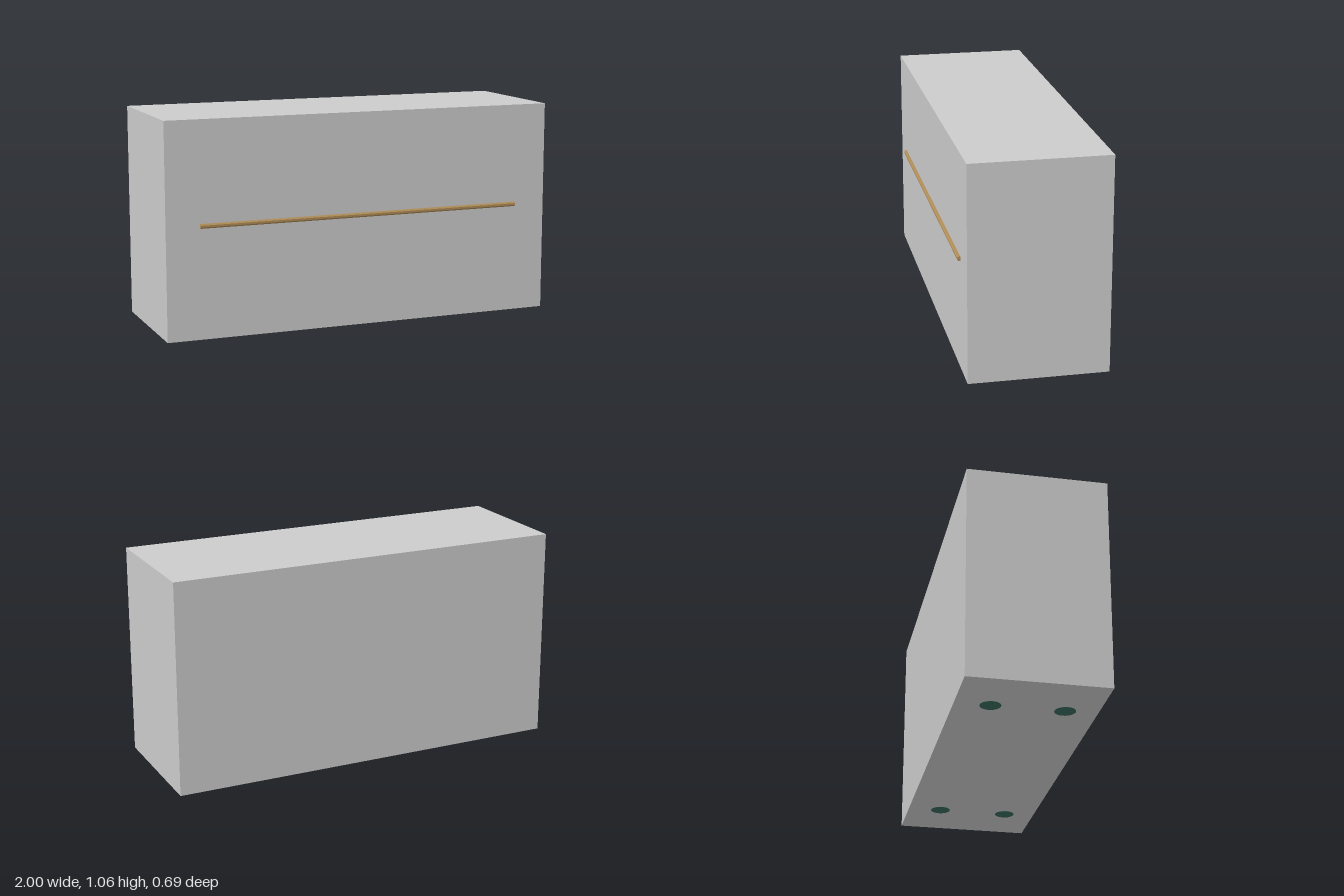
import * as THREE from 'three';

export function createModel() {
  const model = new THREE.Group();
  const grey = new THREE.MeshStandardMaterial({ color: 0xcccccc });
  const brass = new THREE.MeshStandardMaterial({ color: 0xb08d57, flatShading: true });
  const green = new THREE.MeshStandardMaterial({ color: 0x3a6b5c });

  const add = (name, geometry, material, x, y, z) => {
    const mesh = new THREE.Mesh(geometry, material);
    mesh.name = name;
    mesh.position.set(x, y, z);
    model.add(mesh);
  };

  // Main block, a hair above the ground so the feet show underneath
  const height = 1.059, lift = 0.001;
  add('body', new THREE.BoxGeometry(2, height - lift, 0.672), grey, 0, (height + lift) / 2, -0.007);

  // Slim eight-sided rail, partly sunk into the front face
  const rail = new THREE.CylinderGeometry(0.0119, 0.0119, 1.664, 8);
  rail.rotateY(Math.PI / 8).rotateZ(Math.PI / 2);
  add('frontRail', rail, brass, 0, 0.552, 0.332);

  // Four round feet set into the underside
  const foot = new THREE.CylinderGeometry(0.05, 0.05, 0.02, 24);
  for (const x of [-0.71, 0.71])
    for (const z of [-0.174, 0.174])
      add(`${z > 0 ? 'front' : 'back'}${x > 0 ? 'Left' : 'Right'}Foot`, foot, green, x, 0.01, z);

  return model;
}
